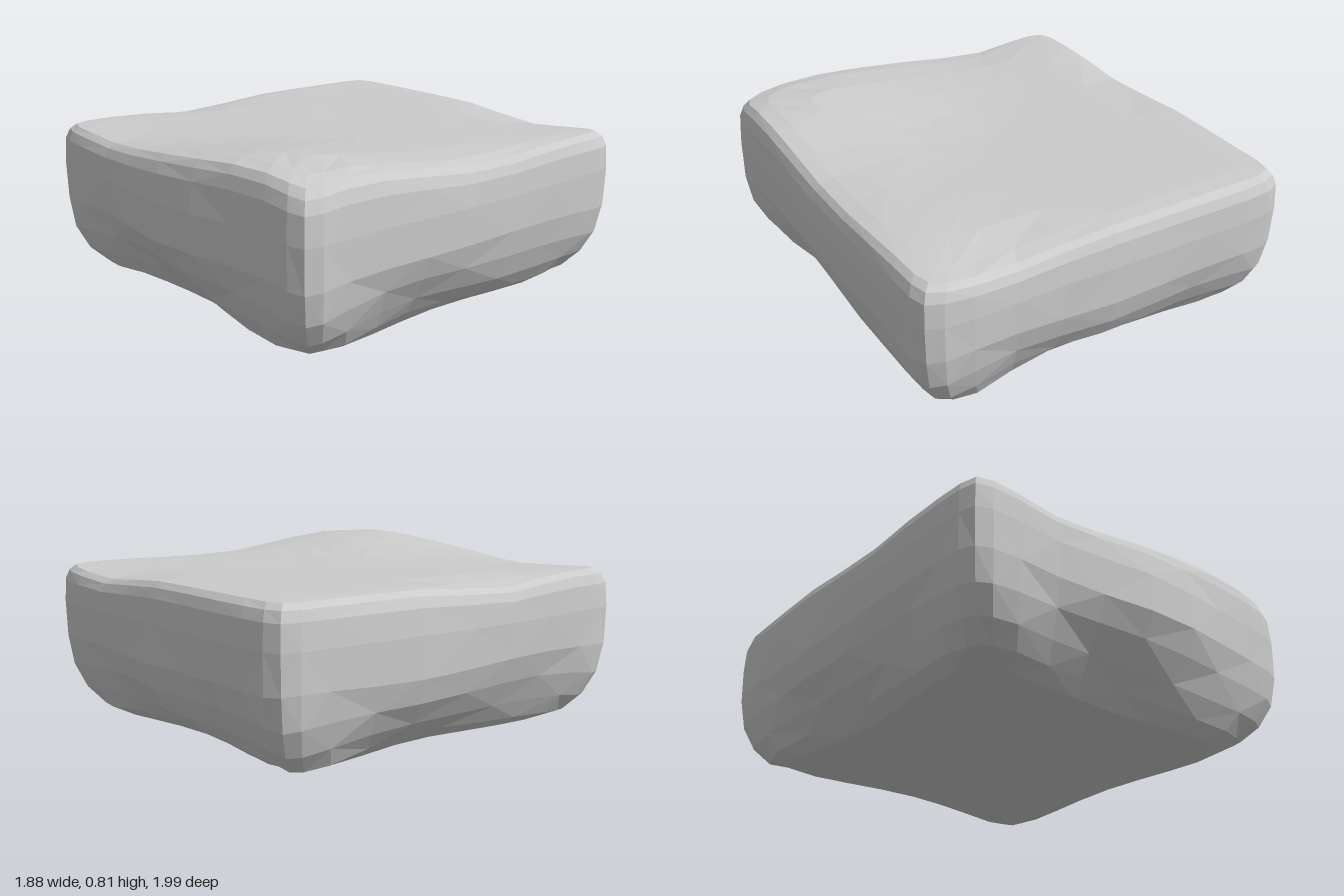
import * as THREE from 'three';

// Linear interpolation through [position, value] pairs
function along(points, p) {
  if (p <= points[0][0]) return points[0][1];
  for (let i = 1; i < points.length; i++) {
    const [a, va] = points[i - 1], [b, vb] = points[i];
    if (p <= b) return va + (vb - va) * (p - a) / (b - a);
  }
  return points[points.length - 1][1];
}

// Plan outline of the four sides, as distance from the centre
const LEFT = [[-1, 0.9], [-0.5, 0.915], [0.3, 0.93], [0.9, 0.94], [1, 0.935]];
const RIGHT = [[-1, 0.91], [-0.3, 0.94], [0.3, 0.94], [1, 0.925]];
const FRONT = [[-1, 0.95], [-0.8, 0.96], [-0.45, 0.94], [-0.05, 0.955], [0.2, 0.955], [0.6, 0.94], [1, 0.92]];
const BACK = [[-1, 0.99], [-0.8, 1.005], [0, 1], [0.4, 0.975], [0.8, 0.995], [1, 0.97]];

// Horizontal rings: height, inset, corner radius, undercut between corners
const RINGS = [
  [0.012, 0.19, 0.3, 0.07],
  [0.05, 0.1, 0.26, 0.085],
  [0.13, 0.045, 0.2, 0.07],
  [0.24, 0.012, 0.14, 0.035],
  [0.38, 0, 0.1, 0.006],
  [0.55, 0, 0.08, 0],
  [0.66, 0.008, 0.07, 0],
  [0.705, 0.025, 0.07, 0],
  [0.73, 0.052, 0.08, 0],
];

// Positions along one side; the square perimeter repeats them four times
const STEPS = [-1, -0.9, -0.76, -0.53, -0.28, 0, 0.28, 0.53, 0.76, 0.9];
const PERIMETER = [
  ...STEPS.map(s => [s, 1]), ...STEPS.map(s => [1, -s]),
  ...STEPS.map(s => [-s, -1]), ...STEPS.map(s => [-1, s]),
];

const bump = (x, z, cx, cz, rx, rz) => Math.exp(-(((x - cx) / rx) ** 2) - ((z - cz) / rz) ** 2);

// Added height of the top: a swell at the front left, sags along the rim
function swell(x, z) {
  return 0.083 * bump(x, z, 0.58, 0.68, 0.5, 0.45) - 0.03 * bump(x, z, -0.43, 0.95, 0.25, 0.2)
    - 0.04 * bump(x, z, 0.45, -0.95, 0.28, 0.2) - 0.035 * bump(x, z, 0.95, -0.15, 0.14, 0.35)
    - 0.04 * bump(x, z, -0.93, 0.2, 0.16, 0.28) - 0.025 * bump(x, z, 0.95, 0.95, 0.15, 0.2);
}

// Round the corners of the unit square
function rounded(u, v, r) {
  const dx = Math.max(0, Math.abs(u) - 1 + r), dz = Math.max(0, Math.abs(v) - 1 + r);
  if (!dx || !dz) return [u, v];
  const k = Math.max(dx, dz) / Math.hypot(dx, dz);
  return [Math.sign(u) * (1 - r + dx * k), Math.sign(v) * (1 - r + dz * k)];
}

function place(u, v, y) {
  const x = u * along(u > 0 ? LEFT : RIGHT, v);
  let z = v * along(v > 0 ? FRONT : BACK, u);
  // belly on the front face
  if (v > 0) z += 0.048 * v * bump(u, y, 0.1, 0.42, 0.45, 0.26);
  return [x, z];
}

function slabGeometry() {
  const pos = [], index = [], n = PERIMETER.length;
  const addRing = ([y, inset, r, under], level) => PERIMETER.forEach(([a, b], i) => {
    const [u, v] = rounded(a, b, r);
    const mid = 1 - Math.min(Math.abs(a), Math.abs(b)) ** 2;
    const ripple = Math.sin(i * 1.3 + level * 0.9) * 0.5 + Math.sin(i * 0.8 - level * 0.7) * 0.5;
    const k = 1 - inset - under * mid * (1 + 0.3 * ripple) - 0.004 * (1 + ripple);
    const [x, z] = place(u * k, v * k, y);
    let h = y;
    if (y > 0.5) h += swell(x, z) * (y - 0.5) / 0.23;
    else if (y > 0.02) h += 0.012 * ripple + 0.03 * mid * (y < 0.3 ? 1 : 0);
    else h += 0.01 * mid - 0.008 * x;
    pos.push(x, h, z);
  });

  // underside, walls, then top, each as rings
  const rings = [[0.012, 0.65, 0.3, 0], ...RINGS,
    [0.734, 0.13, 0.1, 0], [0.732, 0.3, 0.15, 0], [0.73, 0.5, 0.2, 0], [0.727, 0.75, 0.3, 0]];
  rings.forEach(addRing);
  for (let j = 0; j < rings.length - 1; j++) {
    for (let i = 0; i < n; i++) {
      const a = j * n + i, b = j * n + (i + 1) % n, c = a + n, d = b + n;
      if ((i + j) % 2) index.push(a, b, d, a, d, c);
      else index.push(a, b, c, b, d, c);
    }
  }
  // close both ends at the centre
  const bottom = pos.length / 3, top = bottom + 1, last = (rings.length - 1) * n;
  pos.push(0, 0.015, 0, 0, 0.726 + swell(0, 0), 0);
  for (let i = 0; i < n; i++) {
    const k = (i + 1) % n;
    index.push(bottom, k, i, top, last + i, last + k);
  }
  const g = new THREE.BufferGeometry();
  g.setAttribute('position', new THREE.Float32BufferAttribute(pos, 3));
  g.setIndex(index);
  g.computeVertexNormals();
  return g;
}

export function createModel() {
  const group = new THREE.Group();
  group.name = 'stoneSlab';
  const stone = new THREE.Mesh(slabGeometry(),
    new THREE.MeshStandardMaterial({ color: 0xcccccc, flatShading: true }));
  stone.name = 'stone';
  group.add(stone);
  return group;
}
